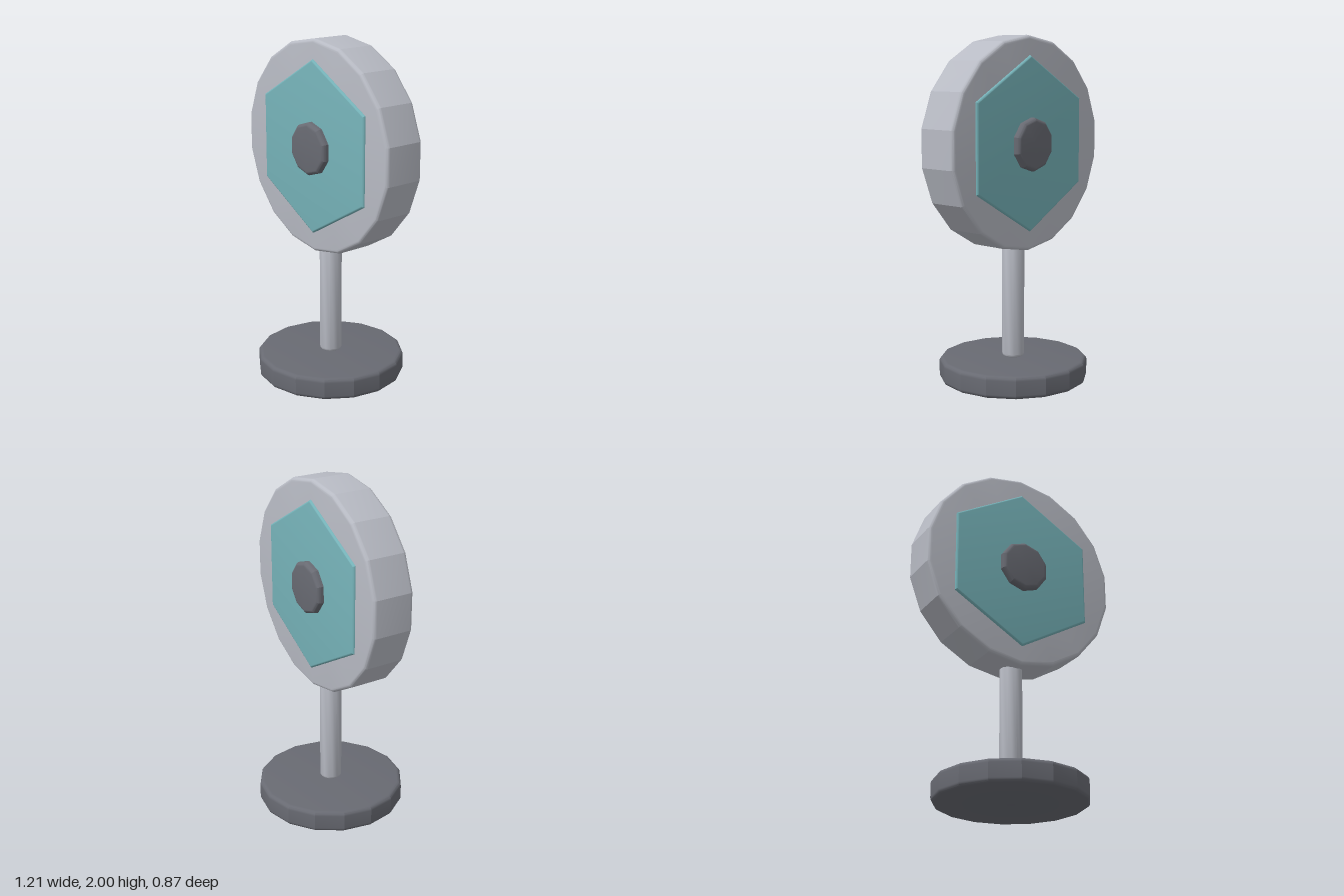
import * as THREE from 'three';
import { toCreasedNormals } from 'three/addons/utils/BufferGeometryUtils.js';

const paint = (name, color) => {
  const m = new THREE.MeshStandardMaterial({ color });
  m.name = name;
  return m;
};

// Faceted disc around y, centred on the origin, with rounded rims
function roundedDisc(radius, height, sides, bevel, crease = 0.3) {
  const steps = 6, h = height / 2;
  const profile = [new THREE.Vector2(0, -h)];
  for (const end of [-1, 1]) {
    for (let i = 0; i <= steps; i++) {
      const a = (end < 0 ? i - steps : i) / steps * Math.PI / 2;
      profile.push(new THREE.Vector2(
        radius - bevel + bevel * Math.cos(a),
        end * (h - bevel) + bevel * Math.sin(a)));
    }
  }
  profile.push(new THREE.Vector2(0, h));
  return toCreasedNormals(new THREE.LatheGeometry(profile, sides), crease);
}

export function createModel() {
  const silver = paint('silver', 0xb8bbc4);
  const teal = paint('teal', 0x76b3b9);
  const charcoal = paint('charcoal', 0x686a72);
  const model = new THREE.Group();
  model.name = 'discOnStand';

  const add = (parent, name, geometry, material, y = 0) => {
    const mesh = new THREE.Mesh(geometry, material);
    mesh.name = name;
    mesh.position.y = y;
    parent.add(mesh);
  };

  // Stand
  add(model, 'base', roundedDisc(0.435, 0.13, 16, 0.025), charcoal, 0.065);
  add(model, 'pole', roundedDisc(0.065, 0.72, 16, 0.02, 0.5), silver, 0.49);

  // Upright disc: each layer is thicker than the one around it, so it shows on both faces
  const head = new THREE.Group();
  head.name = 'head';
  head.position.y = 1.388;
  head.rotation.x = -Math.PI / 2;
  model.add(head);
  add(head, 'wheel', roundedDisc(0.612, 0.255, 18, 0.022), silver);
  add(head, 'hexagonPanel', roundedDisc(0.5, 0.28, 6, 0.015), teal);
  add(head, 'hub', roundedDisc(0.153, 0.358, 10, 0.025), charcoal);

  return model;
}
